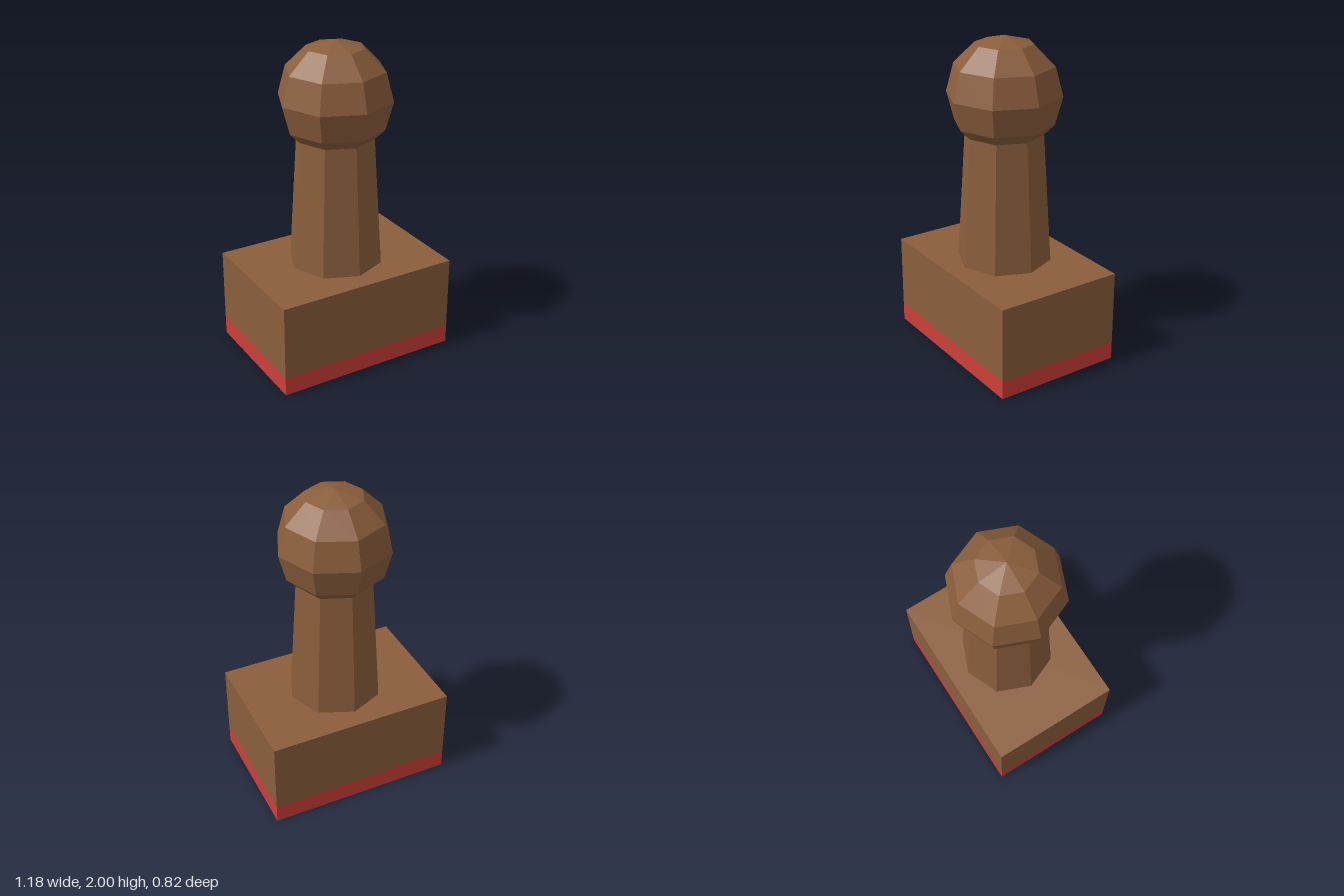
import * as THREE from 'three';

export function createModel() {
  const model = new THREE.Group();
  model.name = 'handStamp';

  const wood = new THREE.MeshStandardMaterial({ color: 0x8b5e3c, flatShading: true });
  wood.name = 'brown wood';
  const rubber = new THREE.MeshStandardMaterial({ color: 0xcd3e38, flatShading: true });
  rubber.name = 'red rubber';

  const add = (name, geometry, material, y) => {
    const mesh = new THREE.Mesh(geometry, material);
    mesh.name = name;
    mesh.position.y = y;
    model.add(mesh);
  };

  const width = 1.176, depth = 0.824;
  const padHeight = 0.118, blockHeight = 0.47, handleHeight = 0.941;
  const blockTop = padHeight + blockHeight;

  // Inked pad under the wooden block
  add('stampPad', new THREE.BoxGeometry(width, padHeight, depth), rubber, padHeight / 2);
  add('block', new THREE.BoxGeometry(width, blockHeight, depth), wood, padHeight + blockHeight / 2);

  // Tapered eight-sided handle, running up into the knob
  add('handle', new THREE.CylinderGeometry(0.235, 0.294, handleHeight, 8), wood, blockTop + handleHeight / 2);

  // Faceted round knob
  add('knob', new THREE.SphereGeometry(0.353, 8, 6), wood, 1.647);

  return model;
}
